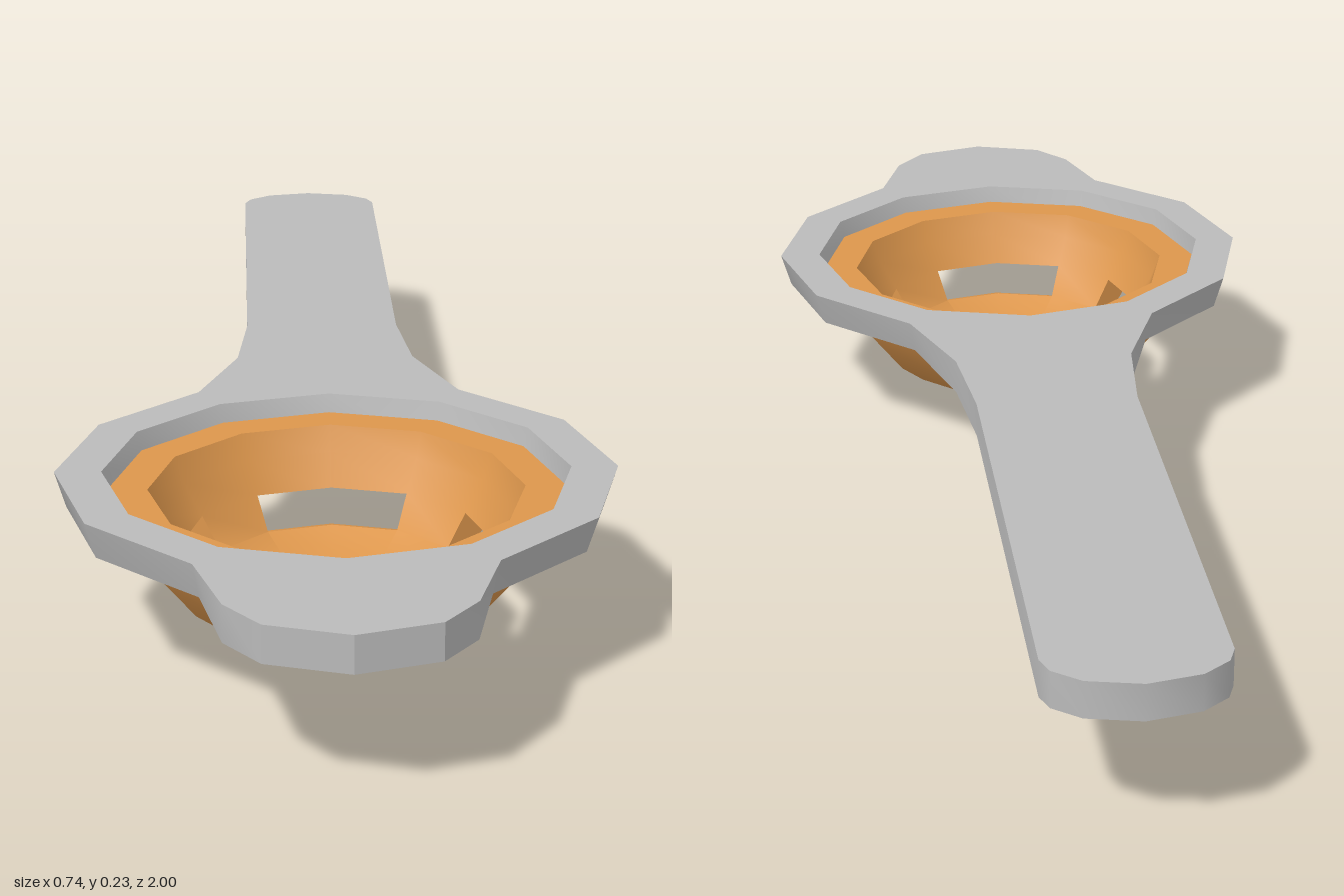
import * as THREE from 'three';
import { mergeGeometries, toCreasedNormals } from 'three/addons/utils/BufferGeometryUtils.js';

const SIDES = 12;
const CENTRE_Z = 0.46;
const PLATE_Y = 0.183;
const PLATE_DEPTH = 0.049;
const STEP = Math.PI / 6;

const grey = new THREE.MeshStandardMaterial({ color: 0xbababa });
grey.name = 'grey';
const orange = new THREE.MeshStandardMaterial({ color: 0xdc964c, side: THREE.DoubleSide });
orange.name = 'orange';

const vectors = (list) => list.map(([x, y]) => new THREE.Vector2(x, y));

// Flat plate: handle, twelve-sided ring and front tab, cut by a twelve-sided hole
function plateGeometry() {
  const ring = [60, 30, 0, -30, -60].map((deg) => {
    const a = THREE.MathUtils.degToRad(deg);
    return [0.372 * Math.cos(a), CENTRE_Z - 0.372 * Math.sin(a)];
  });
  // right half of the outline as [x, z], from handle end to tab end
  const half = [
    [0.07, -0.985], [0.105, -0.957], [0.115, -0.93], [0.115, -0.18], [0.13, -0.02],
    ...ring,
    [0.15, 0.905], [0.105, 0.965],
  ];
  const outline = [
    [0, -1], ...half, [0, 0.998],
    ...half.slice().reverse().map(([x, z]) => [-x, z]),
  ];
  const shape = new THREE.Shape(vectors(outline.map(([x, z]) => [x, -z])));
  const hole = [];
  for (let i = 0; i < SIDES; i++) {
    hole.push([0.31 * Math.cos(i * STEP), -CENTRE_Z + 0.31 * Math.sin(i * STEP)]);
  }
  shape.holes.push(new THREE.Path(vectors(hole)));
  const geo = new THREE.ExtrudeGeometry(shape, { depth: PLATE_DEPTH, bevelEnabled: false });
  geo.rotateX(-Math.PI / 2);

  // the ring and its hole narrow slightly towards the underside
  const p = geo.attributes.position;
  for (let i = 0; i < p.count; i++) {
    const x = p.getX(i);
    const z = p.getZ(i) - CENTRE_Z;
    if (p.getY(i) < PLATE_DEPTH / 2 && Math.hypot(x, z) < 0.38) {
      p.setX(i, x * 0.96);
      p.setZ(i, CENTRE_Z + z * 0.96);
    }
  }
  geo.translate(0, PLATE_Y, 0);
  return toCreasedNormals(geo, 0.6);
}

// Bowl: upper band, four pillars between the openings, and the lower cup
function bowlGeometry() {
  const outerTop = [0.262, 0.127], outerLow = [0.215, 0.07];
  const innerTop = [0.208, 0.127], innerLow = [0.18, 0.082];

  const band = [
    outerTop, [0.289, 0.17], [0.295, 0.183], [0.304, 0.206],
    [0.25, 0.206], [0.236, 0.17], innerTop, outerTop,
  ];
  const cup = [
    [0, 0.001], [0.06, 0.001], [0.175, 0.04], outerLow,
    innerLow, [0.14, 0.06], [0.06, 0.039], [0, 0.035],
  ];
  const pieces = [
    new THREE.LatheGeometry(vectors(band), SIDES),
    new THREE.LatheGeometry(vectors(cup), SIDES),
  ];
  const section = new THREE.Shape(vectors([outerLow, outerTop, innerTop, innerLow]));
  for (let i = 0; i < 4; i++) {
    const start = i * Math.PI / 2 + STEP;
    pieces.push(new THREE.LatheGeometry(vectors([outerLow, outerTop]), 1, start, STEP));
    pieces.push(new THREE.LatheGeometry(vectors([innerTop, innerLow]), 1, start, STEP));
    for (const angle of [start, start + STEP]) {
      pieces.push(new THREE.ShapeGeometry(section).rotateY(angle - Math.PI / 2));
    }
  }
  return toCreasedNormals(mergeGeometries(pieces), 0.6);
}

export function createModel() {
  const model = new THREE.Group();
  model.name = 'strainer';

  const plate = new THREE.Mesh(plateGeometry(), grey);
  plate.name = 'handlePlate';
  model.add(plate);

  const bowl = new THREE.Mesh(bowlGeometry(), orange);
  bowl.name = 'slottedBowl';
  bowl.position.z = CENTRE_Z;
  model.add(bowl);

  return model;
}
